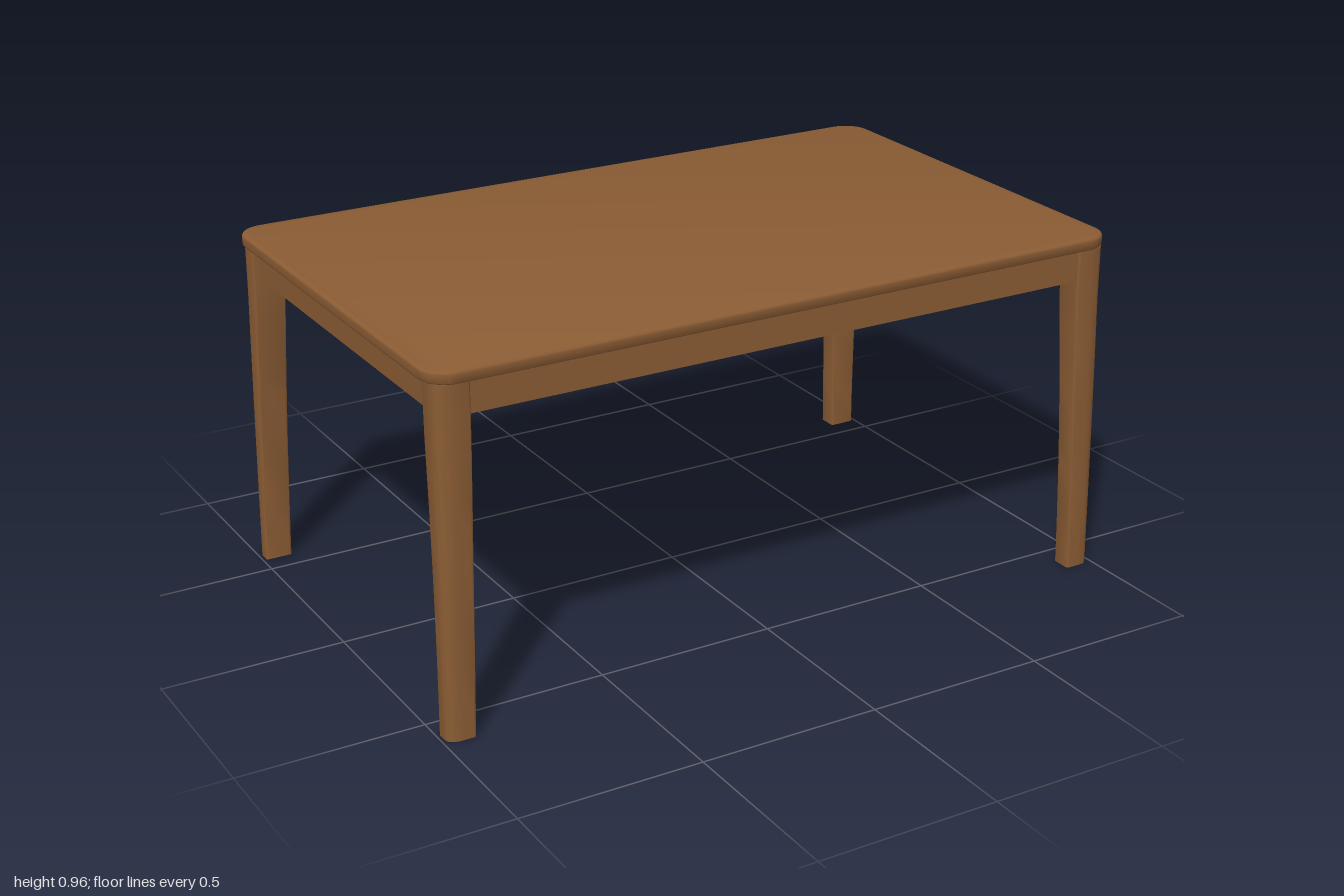
import * as THREE from 'three';
import { toCreasedNormals } from 'three/addons/utils/BufferGeometryUtils.js';

const LEG_TOP = 0.932;
const lerp = THREE.MathUtils.lerp;

// Rectangle with rounded corners, centred on the origin
function roundedRect(hw, hd, r) {
  const s = new THREE.Shape();
  s.absarc(hw - r, hd - r, r, 0, Math.PI / 2);
  s.absarc(-hw + r, hd - r, r, Math.PI / 2, Math.PI);
  s.absarc(-hw + r, -hd + r, r, Math.PI, Math.PI * 1.5);
  s.absarc(hw - r, -hd + r, r, Math.PI * 1.5, Math.PI * 2);
  s.closePath();
  return s;
}

// Tapered leg for the corner given by the signs sx and sz
function legGeometry(sx, sz) {
  // Unit section: 0 is the inner side, 1 the outer; the outer corner is well rounded
  const X = u => sx * u, Y = v => -sz * v, e = 0.1, R = 0.5;
  const s = new THREE.Shape();
  s.moveTo(X(e), Y(0));
  s.lineTo(X(1 - e), Y(0));
  s.quadraticCurveTo(X(1), Y(0), X(1), Y(e));
  s.lineTo(X(1), Y(1 - R));
  s.quadraticCurveTo(X(1), Y(1), X(1 - R), Y(1));
  s.lineTo(X(e), Y(1));
  s.quadraticCurveTo(X(0), Y(1), X(0), Y(1 - e));
  s.lineTo(X(0), Y(e));
  s.quadraticCurveTo(X(0), Y(0), X(e), Y(0));

  const geo = new THREE.ExtrudeGeometry(s, { depth: LEG_TOP, steps: 12, bevelEnabled: false, curveSegments: 8 });
  geo.rotateX(-Math.PI / 2);
  const p = geo.attributes.position;
  for (let i = 0; i < p.count; i++) {
    const y = p.getY(i);
    const t = Math.min(y / 0.8, 1); // taper ends just below the apron
    const x = lerp(lerp(0.915, 0.895, t), lerp(0.99, 0.985, t), Math.abs(p.getX(i)));
    const z = lerp(lerp(0.56, 0.527, t * t), lerp(0.617, 0.607, t), Math.abs(p.getZ(i)));
    p.setXYZ(i, sx * x, y, sz * z);
  }
  return toCreasedNormals(geo, 0.6);
}

export function createModel() {
  const wood = new THREE.MeshStandardMaterial({ color: 0x8a5c34 });
  wood.name = 'brown wood';
  const table = new THREE.Group();
  table.name = 'table';
  const add = (name, geo, x = 0, y = 0, z = 0) => {
    const m = new THREE.Mesh(geo, wood);
    m.name = name;
    m.position.set(x, y, z);
    table.add(m);
  };

  // Tabletop with rounded corners and softened edges
  const b = 0.008;
  const top = new THREE.ExtrudeGeometry(roundedRect(1 - b, 0.614 - b, 0.065), {
    depth: 0.034 - 2 * b, bevelThickness: b, bevelSize: b, bevelSegments: 4, curveSegments: 12,
  });
  top.rotateX(-Math.PI / 2);
  add('tabletop', toCreasedNormals(top, 0.6), 0, 0.931 + b, 0);

  // Legs
  for (const sx of [1, -1]) for (const sz of [1, -1]) {
    add(`${sz > 0 ? 'front' : 'back'}${sx > 0 ? 'Left' : 'Right'}Leg`, legGeometry(sx, sz));
  }

  // Apron rails between the legs
  for (const s of [1, -1]) {
    add(s > 0 ? 'frontApron' : 'backApron', new THREE.BoxGeometry(1.82, 0.09, 0.04), 0, 0.887, s * 0.57);
    add(s > 0 ? 'leftApron' : 'rightApron', new THREE.BoxGeometry(0.04, 0.09, 1.08), s * 0.945, 0.887, 0);
  }
  return table;
}
